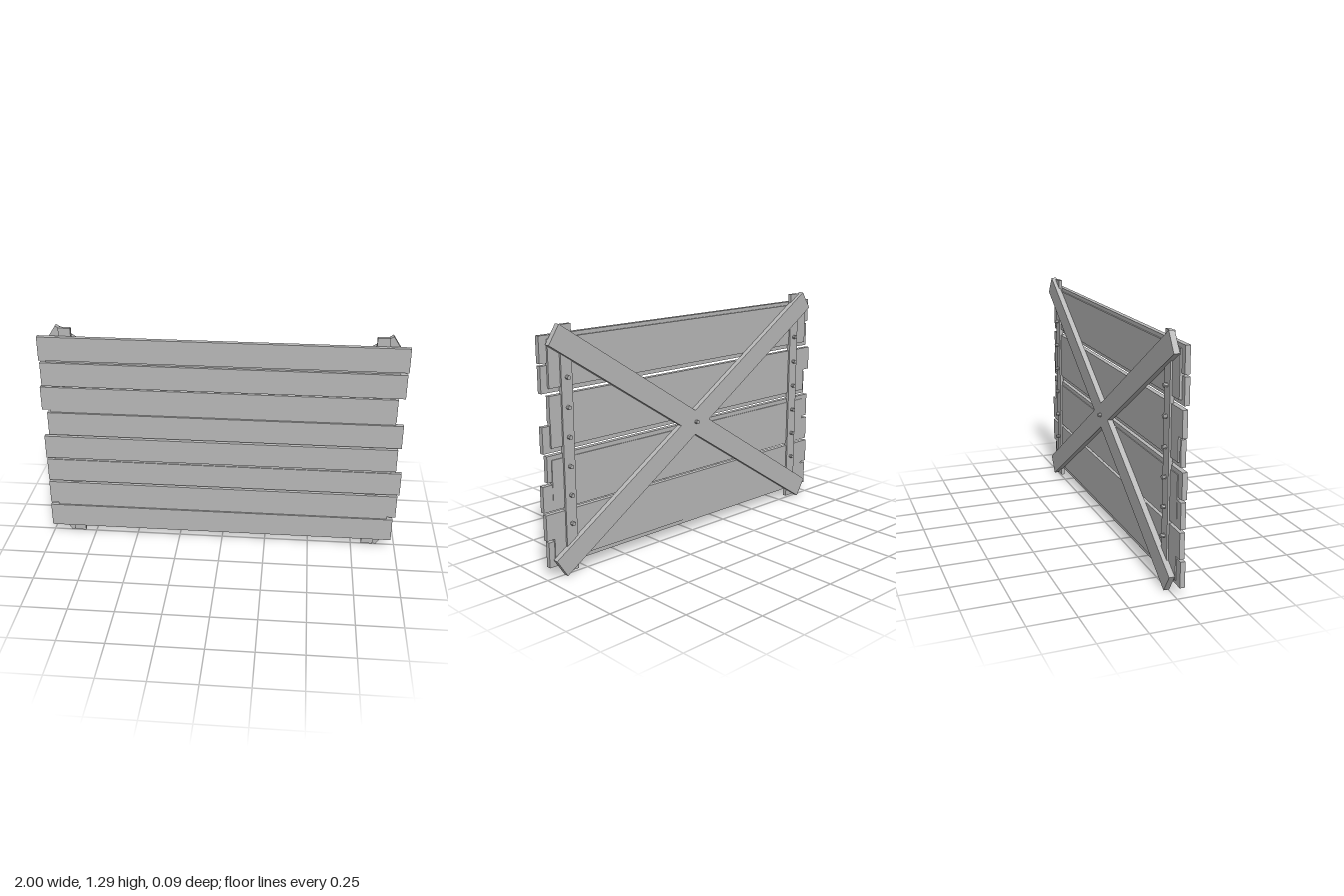
import * as THREE from 'three';

const grey = new THREE.MeshStandardMaterial({ color: 0xb8b8b8 });
grey.name = 'plain grey';

export function createModel() {
  const group = new THREE.Group();

  // Box given by its limits on each axis
  const board = (name, x0, x1, y0, y1, z0, z1) => {
    const mesh = new THREE.Mesh(new THREE.BoxGeometry(x1 - x0, y1 - y0, z1 - z0), grey);
    mesh.position.set((x0 + x1) / 2, (y0 + y1) / 2, (z0 + z1) / 2);
    mesh.name = name;
    group.add(mesh);
    return mesh;
  };

  // Nail head pointing backwards
  const nail = (name, x, y, z0, z1, r) => {
    const geo = new THREE.CylinderGeometry(r, r, z1 - z0, 8).rotateX(Math.PI / 2).toNonIndexed();
    geo.computeVertexNormals();
    const mesh = new THREE.Mesh(geo, grey);
    mesh.position.set(x, y, (z0 + z1) / 2);
    mesh.name = name;
    group.add(mesh);
  };

  // Uneven front planks: left end, right end, bottom, top, front z
  const planks = [
    [-0.99, 0.985, 1.105, 1.24, 0.041],
    [-0.985, 0.98, 0.957, 1.093, 0.045],
    [-1, 0.945, 0.807, 0.943, 0.031],
    [-0.97, 0.985, 0.657, 0.793, 0.041],
    [-1, 0.968, 0.507, 0.643, 0.037],
    [-0.998, 1, 0.358, 0.494, 0.034],
    [-1, 0.99, 0.208, 0.344, 0.031],
    [-1, 0.975, 0.058, 0.194, 0.038],
  ];
  planks.forEach(([x0, x1, y0, y1, z], i) => board('plank' + (i + 1), x0, x1, y0, y1, z - 0.026, z));

  // Backing panels closing the seam of every pair of planks
  [1.1, 0.8, 0.5, 0.2].forEach((y, i) =>
    board('backingPanel' + (i + 1), -0.955, 0.942, y - 0.12, y + 0.12, 0.006, 0.029));

  // Upright battens with a row of nails
  for (const side of [-1, 1]) {
    const x = side * 0.842;
    board(side > 0 ? 'leftBatten' : 'rightBatten', x - 0.033, x + 0.033, 0.015, 1.285, -0.004, 0.017);
    for (let i = 0; i < 6; i++) nail('battenNail', x, 0.27 + i * 0.151, -0.024, 0, 0.011);
  }

  // Diagonal braces crossing at the centre
  for (const side of [-1, 1]) {
    const brace = board('diagonalBrace', -1.1, 1.1, 0.59, 0.705, -0.025, 0.005);
    brace.position.y = 0.6475;
    brace.rotation.z = side * 0.573;
  }
  nail('centreNail', -0.005, 0.65, -0.042, -0.02, 0.011);

  return group;
}
